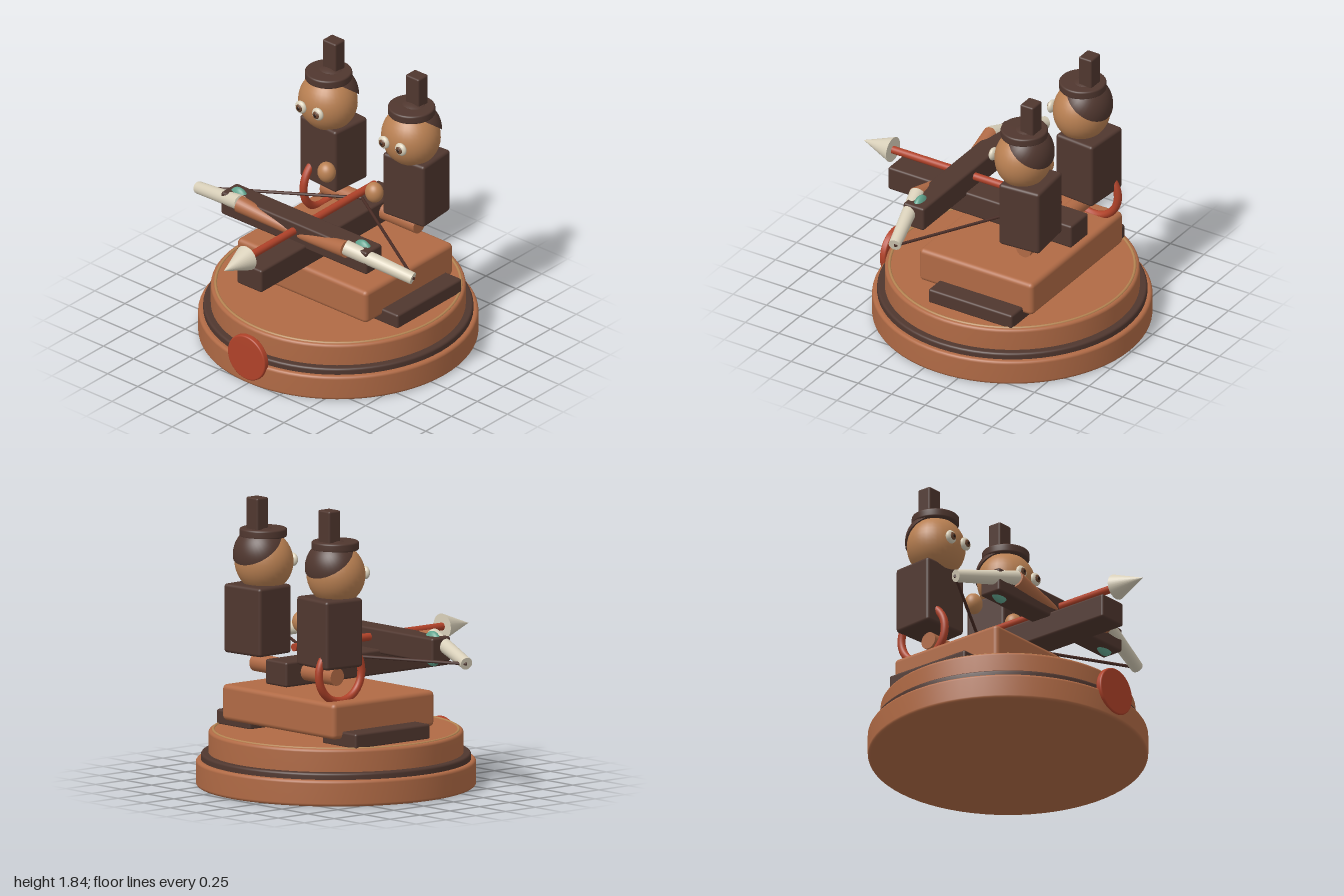
import * as THREE from 'three';
import { RoundedBoxGeometry } from 'three/addons/geometries/RoundedBoxGeometry.js';

const paint = (color) => new THREE.MeshStandardMaterial({ color });
const WOOD = paint(0xb06a45), DARK = paint(0x50372f), RED = paint(0xb04229), CREAM = paint(0xd9d0ba);
const TEAL = paint(0x5fa28c), SKIN = paint(0xb98052), TAN = paint(0xb58452), CORD = paint(0x4a2d26);
const IRIS = paint(0x6b4630), PUPIL = paint(0x2a1b16);

function add(parent, name, geometry, material, x = 0, y = 0, z = 0) {
  const mesh = new THREE.Mesh(geometry, material);
  mesh.name = name;
  mesh.position.set(x, y, z);
  parent.add(mesh);
  return mesh;
}

// Softly rounded box given by its size and centre
const box = (parent, name, material, w, h, d, x, y, z, r = 0.015) =>
  add(parent, name, new RoundedBoxGeometry(w, h, d, 3, r), material, x, y, z);

const ball = (parent, name, material, rx, ry, rz, x, y, z) =>
  add(parent, name, new THREE.SphereGeometry(1, 32, 20).scale(rx, ry, rz), material, x, y, z);

// Disc with rounded rims, standing on y
function disc(parent, name, material, radius, height, x, y, z, bevel = 0.015) {
  const profile = [new THREE.Vector2(0, 0), new THREE.Vector2(radius - bevel, 0)];
  for (let i = 0; i <= 4; i++) {
    const a = (i / 4) * Math.PI / 2;
    profile.push(new THREE.Vector2(radius - bevel + bevel * Math.sin(a), bevel - bevel * Math.cos(a)));
  }
  for (let i = 0; i <= 4; i++) {
    const a = (i / 4) * Math.PI / 2;
    profile.push(new THREE.Vector2(radius - bevel + bevel * Math.cos(a), height - bevel + bevel * Math.sin(a)));
  }
  profile.push(new THREE.Vector2(0, height));
  return add(parent, name, new THREE.LatheGeometry(profile, 72), material, x, y, z);
}

// Tapered rod running from point a to point b
function rod(parent, name, material, a, b, ra, rb = ra, sides = 24) {
  const from = new THREE.Vector3(...a), to = new THREE.Vector3(...b);
  const dir = to.clone().sub(from);
  const mesh = add(parent, name, new THREE.CylinderGeometry(rb, ra, dir.length(), sides), material);
  mesh.position.copy(from).add(to).multiplyScalar(0.5);
  mesh.quaternion.setFromUnitVectors(new THREE.Vector3(0, 1, 0), dir.normalize());
  return mesh;
}

function buildBase() {
  const base = new THREE.Group();
  base.name = 'base';
  const z = -0.11;
  disc(base, 'lowerDisc', WOOD, 0.885, 0.168, 0, 0, z, 0.02);
  disc(base, 'darkBand', DARK, 0.853, 0.06, 0, 0.15, z);
  disc(base, 'upperDisc', WOOD, 0.805, 0.165, 0, 0.19, z, 0.02);
  const rim = add(base, 'topRim', new THREE.TorusGeometry(0.775, 0.01, 8, 72), TAN, 0, 0.353, z);
  rim.rotation.x = Math.PI / 2;
  // Plain round badge on the front
  const badge = disc(base, 'frontBadge', RED, 0.155, 0.042, 0, 0.19, 0.743, 0.01);
  badge.rotation.x = Math.PI / 2;
  for (const s of [-1, 1]) box(base, 'footBlock', DARK, 0.325, 0.1, 0.625, s * 0.5075, 0.398, -0.217);
  box(base, 'platform', WOOD, 1.08, 0.23, 0.85, 0, 0.515, -0.175, 0.03);
  return base;
}

function buildCrossbow() {
  const bow = new THREE.Group();
  bow.name = 'crossbow';
  box(bow, 'stock', DARK, 0.205, 0.16, 1.37, 0, 0.765, 0.07);
  rod(bow, 'axle', WOOD, [-0.39, 0.77, -0.44], [0.39, 0.77, -0.44], 0.056);
  box(bow, 'crossbar', DARK, 1.21, 0.16, 0.155, 0, 0.896, 0.247);
  for (const s of [-1, 1]) {
    // Limb, tip, cord and ornament on each side
    const tip = [s * 0.89, 0.848, 0.205];
    rod(bow, 'limb', WOOD, [s * 0.03, 0.888, 0.295], [s * 0.445, 0.947, 0.327], 0.03, 0.055);
    rod(bow, 'limbTip', CREAM, [s * 0.435, 0.957, 0.325], tip, 0.05, 0.04);
    rod(bow, 'cord', CORD, [s * 0.895, 0.847, 0.203], [0, 0.868, -0.34], 0.01, 0.01, 8);
    ball(bow, 'ornament', TEAL, 0.085, 0.113, 0.043, s * 0.515, 0.894, 0.25);
  }
  rod(bow, 'arrowShaft', RED, [0, 0.915, -0.465], [0, 0.915, 0.8], 0.025);
  rod(bow, 'arrowHead', CREAM, [0, 0.915, 0.78], [0, 0.915, 1], 0.083, 0, 32);
  // Ring beside one figure
  const ring = add(bow, 'ring', new THREE.TorusGeometry(0.178, 0.026, 12, 48), RED, -0.428, 0.8, -0.45);
  ring.rotation.y = Math.PI / 2;
  return bow;
}

// One crew figure; s is the side it stands on
function buildFigure(s) {
  const figure = new THREE.Group();
  figure.name = s > 0 ? 'leftFigure' : 'rightFigure';
  figure.position.x = s * 0.345;
  const body = box(figure, 'body', DARK, 0.325, 0.44, 0.288, 0, 1.06, -0.465, 0.02);
  body.rotation.y = s * 0.08;
  ball(figure, 'head', SKIN, 0.195, 0.197, 0.18, 0, 1.42, -0.412);
  ball(figure, 'hand', SKIN, 0.061, 0.068, 0.056, -s * 0.147, 1.03, -0.228);
  // Hair shell tilted towards the back of the head
  const hairMaterial = DARK.clone();
  hairMaterial.side = THREE.DoubleSide;
  const shell = new THREE.SphereGeometry(1, 32, 14, 0, Math.PI * 2, 0, 1.22);
  shell.rotateX(-0.6).scale(0.187, 0.19, 0.17);
  add(figure, 'hair', shell, hairMaterial, 0, 1.46, -0.438);
  disc(figure, 'hatBrim', DARK, 0.15, 0.057, 0, 1.577, -0.418, 0.012);
  box(figure, 'hatPeak', DARK, 0.112, 0.25, 0.097, 0, 1.71, -0.468, 0.012);
  for (const e of [-0.07, 0.07]) {
    ball(figure, 'eyeWhite', CREAM, 0.043, 0.043, 0.024, e, 1.42, -0.232);
    ball(figure, 'iris', IRIS, 0.026, 0.026, 0.012, e, 1.42, -0.215);
    ball(figure, 'pupil', PUPIL, 0.012, 0.012, 0.007, e, 1.42, -0.207);
  }
  return figure;
}

export function createModel() {
  const model = new THREE.Group();
  model.name = 'crossbowCart';
  model.add(buildBase(), buildCrossbow(), buildFigure(1), buildFigure(-1));
  return model;
}
